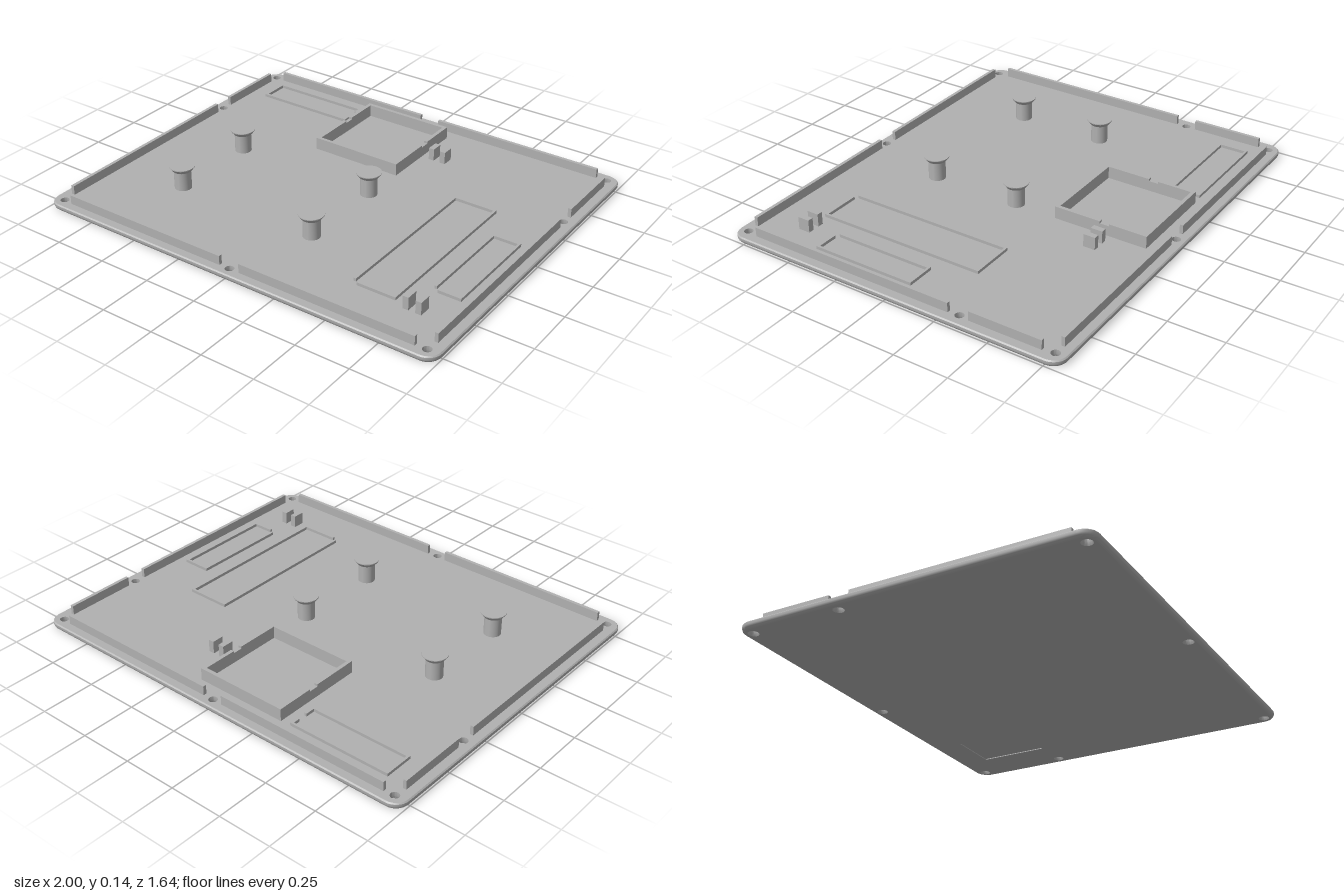
import * as THREE from 'three';
import { mergeGeometries, toCreasedNormals } from 'three/addons/utils/BufferGeometryUtils.js';

const grey = new THREE.MeshStandardMaterial({ color: 0xb0b0b0 });
const FLOOR = 0.032;

// Rounded rectangle outline as [x, z] points
function outline(hx, hz, r, n = 8) {
  const pts = [];
  [[1, 1], [-1, 1], [-1, -1], [1, -1]].forEach(([sx, sz], q) => {
    for (let i = 0; i <= n; i++) {
      const a = (q + i / n) * Math.PI / 2;
      pts.push([sx * (hx - r) + r * Math.cos(a), sz * (hz - r) + r * Math.sin(a)]);
    }
  });
  return pts;
}

function circle(x, z, r, n = 24) {
  return Array.from({ length: n }, (_, i) => {
    const a = i / n * Math.PI * 2;
    return [x + r * Math.cos(a), z + r * Math.sin(a)];
  });
}

// Wall through stacked outlines: rising faces outward, falling faces inward
function skin(rings) {
  const n = rings[0].pts.length, pos = [], idx = [];
  rings.forEach(({ pts, y }) => pts.forEach(([x, z]) => pos.push(x, y, z)));
  for (let k = 0; k < rings.length - 1; k++) {
    for (let i = 0; i < n; i++) {
      const a = k * n + i, b = k * n + (i + 1) % n;
      idx.push(a, a + n, b, b, a + n, b + n);
    }
  }
  const g = new THREE.BufferGeometry();
  g.setAttribute('position', new THREE.Float32BufferAttribute(pos, 3));
  g.setIndex(idx);
  return toCreasedNormals(g, 0.6);
}

// Flat horizontal face with holes, facing up or down
function cap(pts, holes, y, up) {
  const s = up ? -1 : 1;
  const vec = list => list.map(([x, z]) => new THREE.Vector2(x, s * z));
  const shape = new THREE.Shape(vec(pts));
  holes.forEach(h => shape.holes.push(new THREE.Path(vec(h))));
  const g = new THREE.ShapeGeometry(shape).toNonIndexed();
  g.deleteAttribute('uv');
  return g.rotateX(s * Math.PI / 2).translate(0, y, 0);
}

function bar(x0, x1, z0, z1, top, bottom = FLOOR - 0.004) {
  return new THREE.BoxGeometry(x1 - x0, top - bottom, z1 - z0)
    .translate((x0 + x1) / 2, (top + bottom) / 2, (z0 + z1) / 2);
}

export function createModel() {
  const model = new THREE.Group();
  const add = (name, geometry) => {
    const mesh = new THREE.Mesh(geometry, grey);
    mesh.name = name;
    model.add(mesh);
    return mesh;
  };
  const addBars = (name, bars) => add(name, mergeGeometries(bars.map(b => bar(...b))));

  // Base plate: rounded lower edge, screw holes, shallow recess underneath
  const ring = (inset, y) => ({ pts: outline(1 - inset, 0.82 - inset, 0.065 - inset), y });
  const edge = [[0.016, 0], [0.008, 0.003], [0.003, 0.008], [0, 0.016], [0, 0.027], [0.005, FLOOR]]
    .map(([inset, y]) => ring(inset, y));
  const screws = [[0, -0.775], [0, 0.775]];
  for (const s of [-1, 1]) screws.push([s * 0.943, -0.77], [s * 0.943, 0.77], [s * 0.946, -0.335]);
  const recess = [[0.78, -0.34], [0.53, -0.34], [0.53, -0.67], [0.78, -0.67]];
  const depth = 0.004;
  add('basePlate', mergeGeometries([
    skin(edge),
    cap(edge[edge.length - 1].pts, screws.map(([x, z]) => circle(x, z, 0.02)), FLOOR, true),
    cap(edge[0].pts, [...screws.map(([x, z]) => circle(x, z, 0.025)), recess], 0, false),
    skin([{ pts: recess, y: depth }, { pts: recess, y: 0 }]),
    cap(recess, [], depth, false),
    ...screws.map(([x, z]) => skin([
      { pts: circle(x, z, 0.02), y: FLOOR },
      { pts: circle(x, z, 0.02), y: 0.012 },
      { pts: circle(x, z, 0.025), y: 0 },
    ])),
  ].map(g => g.index ? g.toNonIndexed() : g)));

  // Locating walls, interrupted at the screw holes
  const walls = [];
  for (const z of [-0.779, 0.763]) {
    walls.push([-0.895, -0.05, z, z + 0.016, 0.075], [0.05, 0.893, z, z + 0.016, 0.075]);
  }
  for (const x of [-0.956, 0.94]) {
    walls.push([x, x + 0.016, -0.717, -0.383, 0.075], [x, x + 0.016, -0.285, 0.714, 0.075]);
  }
  addBars('locatingWalls', walls);

  // Square compartment with a small notch in each side wall
  const t = 0.017, box = [];
  for (const z of [-0.705, -0.257 - t]) box.push([-0.312, 0.136, z, z + t, 0.09]);
  for (const x of [-0.312, 0.136 - t]) {
    box.push([x, x + t, -0.705 + t, -0.525, 0.09], [x, x + t, -0.525, -0.48, 0.08],
      [x, x + t, -0.48, -0.257 - t, 0.09]);
  }
  addBars('squareCompartment', box);

  // Low ridges outlining components, each with a small gap
  const low = FLOOR + 0.014, w = 0.011;
  addBars('rearRidge', [
    [-0.855, -0.36, -0.702, -0.702 + w, low], [-0.855, -0.36, -0.56 - w, -0.56, low],
    [-0.855, -0.855 + w, -0.702, -0.56, low],
    [-0.36 - w, -0.36, -0.702, -0.66, low], [-0.36 - w, -0.36, -0.615, -0.56, low],
  ]);
  const ridge = (name, x0, x1, z0, z1) => addBars(name, [
    [x0, x1, z0, z0 + w, low], [x1 - w, x1, z0, z1, low],
    [x0, x0 + w, z0, z1 - 0.02, low], [x0 + 0.027, x1, z1 - w, z1, low],
  ]);
  ridge('longRidge', 0.463, 0.675, -0.232, 0.576);
  ridge('shortRidge', 0.756, 0.891, -0.055, 0.436);

  // Pairs of small cable clips
  for (const [x, z] of [[0.176, -0.532], [0.725, 0.547]]) {
    addBars('cableClips', [[x, x + 0.027, z, z + 0.056, 0.091],
      [x + 0.059, x + 0.086, z, z + 0.056, 0.091]]);
  }

  // Flared mounting posts
  const profile = [[0.039, FLOOR - 0.004], [0.039, 0.12], [0.044, 0.122], [0.058, 0.14],
    [0.058, 0.144], [0, 0.144]].map(([r, y]) => new THREE.Vector2(r, y));
  const postShape = toCreasedNormals(new THREE.LatheGeometry(profile, 32), 0.5);
  for (const x of [-0.59, 0.126]) {
    for (const z of [-0.05, 0.381]) add('mountingPost', postShape).position.set(x, 0, z);
  }
  return model;
}
